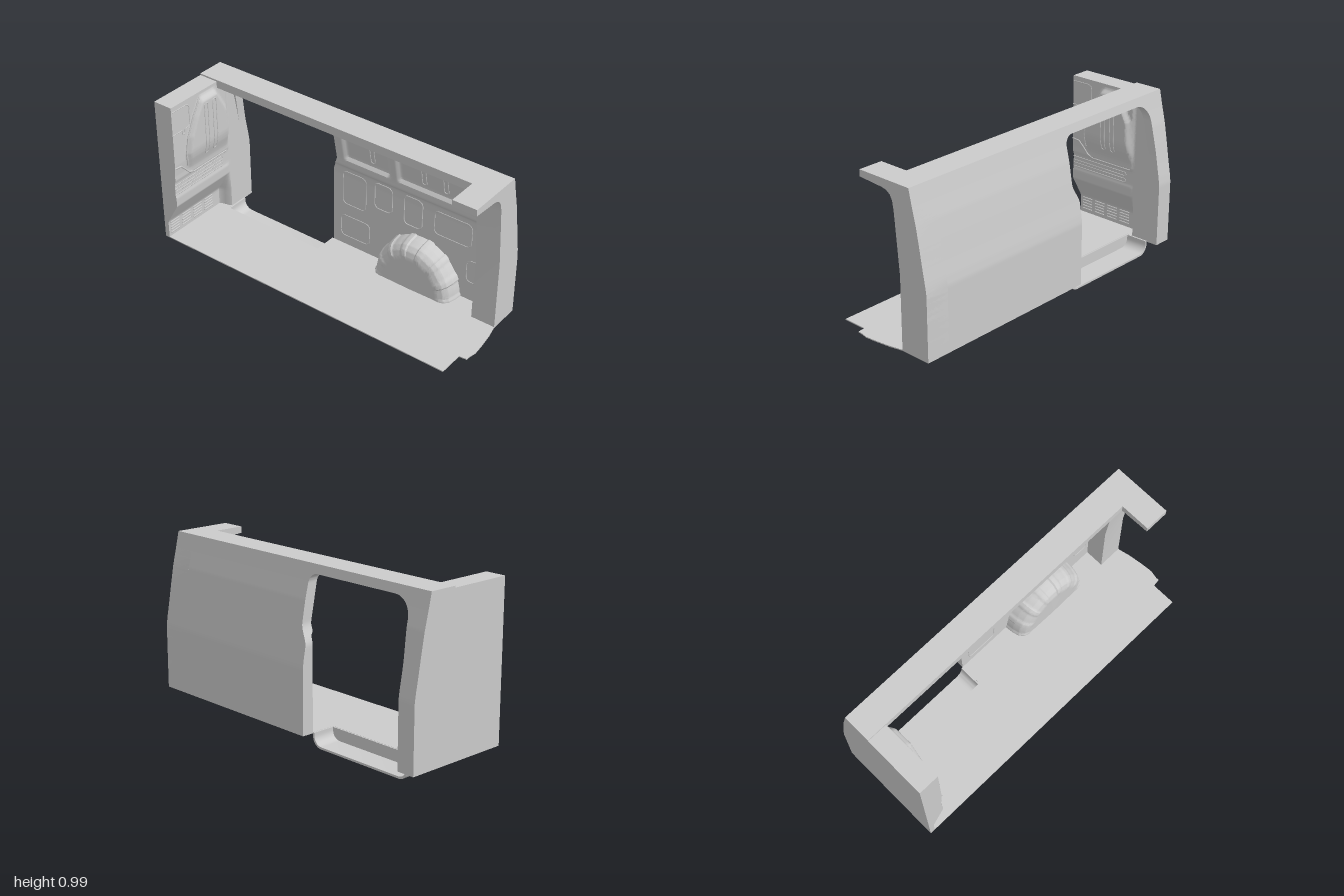
import * as THREE from 'three';
import { toCreasedNormals } from 'three/addons/utils/BufferGeometryUtils.js';

const grey = new THREE.MeshStandardMaterial({ color: 0xcccccc, side: THREE.DoubleSide });
const BASE = 0.075, FRONT = 0.965, HEAD = 0.94, OPEN = -0.323;
const lerp = THREE.MathUtils.lerp, smooth = THREE.MathUtils.smoothstep;

// piecewise linear lookup
function along(pts, v) {
  for (let i = 1; i < pts.length; i++) {
    const [a, b] = [pts[i - 1], pts[i]];
    if (v <= b[0]) return lerp(a[1], b[1], Math.max(0, (v - a[0]) / (b[0] - a[0])));
  }
  return pts[pts.length - 1][1];
}

// body-side section, door edges and lining section, all by height
const skin = [[0.075, 0.322], [0.45, 0.322], [0.5, 0.315], [0.57, 0.302], [0.7, 0.28], [0.8, 0.262], [0.9, 0.238], [0.99, 0.218]];
const outerX = y => along(skin, y);
const arc = (y, r) => r - Math.sqrt(Math.max(0, r * r - Math.max(0, y - HEAD + r) ** 2));
const doorFront = y => -0.205 + 0.045 * smooth(y, 0.56, 0.68) - arc(y, 0.055);
const doorRear = y => -0.893 + 0.012 * smooth(y, 0.6, 0.85) + arc(y, 0.11);
const lining = [[0.075, 0.25], [0.55, 0.255], [0.61, 0.247], [0.63, 0.225], [0.67, 0.222], [0.94, 0.17]];

// inner side lining with window recesses above the belt
const windows = [[-0.1, 0.2], [0.26, 0.72]];
function liningX(z, y) {
  let x = along(lining, y);
  for (const [a, b] of windows) {
    x += 0.022 * smooth(z, a - 0.015, a + 0.015) * (1 - smooth(z, b - 0.015, b + 0.015))
      * smooth(y, 0.67, 0.7) * (1 - smooth(y, 0.89, 0.92));
  }
  return x;
}

// bulkhead face: bulged upper field, undercut toe panel, straight corner post
const bulgeLeft = [[0.49, -0.12], [0.51, -0.19], [0.56, -0.22], [0.64, -0.23], [0.74, -0.21], [0.85, -0.16], [0.95, -0.1]];
const bulgeRight = [[0.49, 0.13], [0.79, 0.11], [0.94, 0.03]];
function bulkheadZ(x, y) {
  const l = along(bulgeLeft, y), r = along(bulgeRight, y);
  const bulge = smooth(x, l - 0.01, l + 0.025) * (1 - smooth(x, r - 0.025, r + 0.01))
    * smooth(y, 0.5, 0.67) * (1 - smooth(y, 0.92, 0.96));
  const face = along([[0.18, -0.97], [0.195, -0.965], [0.325, -0.89], [0.38, -0.888], [0.4, -0.893], [0.48, -0.893], [0.5, -0.886], [0.53, -0.886], [0.6, -0.88], [0.98, -0.878]], y);
  return lerp(face + 0.029 * bulge, -0.893, smooth(x, 0.115, 0.14));
}

// grid surface from a rule f(u, v) -> [x, y, z]
function sheet(nu, nv, f) {
  const g = new THREE.PlaneGeometry(1, 1, nu, nv), p = g.attributes.position;
  for (let i = 0; i < p.count; i++) p.setXYZ(i, ...f(p.getX(i) + 0.5, p.getY(i) + 0.5));
  g.computeVertexNormals();
  return toCreasedNormals(g, 0.6);
}

function extrude(pts, depth) {
  const shape = new THREE.Shape(pts.map(([x, y]) => new THREE.Vector2(x, y)));
  return toCreasedNormals(new THREE.ExtrudeGeometry(shape, { depth, bevelEnabled: false }), 0.5);
}

// points of a rounded rectangle
function roundRect(x0, y0, x1, y1, r) {
  const out = [];
  const corners = [[x1 - r, y1 - r, 0], [x0 + r, y1 - r, 1], [x0 + r, y0 + r, 2], [x1 - r, y0 + r, 3]];
  for (const [cx, cy, q] of corners) {
    for (let i = 0; i <= 4; i++) {
      const a = (q + i / 4) * Math.PI / 2;
      out.push([cx + r * Math.cos(a), cy + r * Math.sin(a)]);
    }
  }
  return out;
}

// fine bead following a surface, with long runs subdivided
function bead(pts, place, closed, r = 0.003) {
  const v = [], ends = closed ? [...pts, pts[0]] : pts;
  for (let i = 1; i < ends.length; i++) {
    const [a, b] = [ends[i - 1], ends[i]];
    const n = Math.ceil(Math.hypot(b[0] - a[0], b[1] - a[1]) / 0.015);
    for (let k = 0; k < n; k++) v.push(new THREE.Vector3(...place(lerp(a[0], b[0], k / n), lerp(a[1], b[1], k / n))));
  }
  if (!closed) v.push(new THREE.Vector3(...place(...ends[ends.length - 1])));
  return new THREE.TubeGeometry(new THREE.CatmullRomCurve3(v, closed, 'centripetal'), v.length * 2, r, 6, closed);
}

export function createModel() {
  const model = new THREE.Group();
  const add = (name, geometry, parent = model) => {
    const m = new THREE.Mesh(geometry, grey);
    m.name = name;
    parent.add(m);
    return m;
  };
  const group = name => {
    const g = new THREE.Group();
    g.name = name;
    model.add(g);
    return g;
  };
  // rows are packed towards the rounded door head
  const rowY = v => lerp(BASE, HEAD, 1 - (1 - v) ** 1.6);

  // outer body side either side of the door
  const side = group('bodySide');
  add('sidePanel', sheet(1, 70, (u, v) => { const y = rowY(v); return [outerX(y), y, lerp(doorFront(y), FRONT, u)]; }), side);
  add('rearCornerPanel', sheet(1, 70, (u, v) => { const y = rowY(v); return [outerX(y), y, lerp(-1, doorRear(y), u)]; }), side);

  // door jambs and the inner return of the rear one
  const jambs = group('doorFrame');
  const jambX = y => outerX(y) - 0.055;
  add('frontJamb', sheet(2, 70, (u, v) => { const y = rowY(v), z = doorFront(y); return [lerp(outerX(y), liningX(z, y), u), y, z]; }), jambs);
  add('rearJamb', sheet(2, 70, (u, v) => { const y = rowY(v); return [lerp(outerX(y), jambX(y), u), y, doorRear(y)]; }), jambs);
  add('rearJambReturn', sheet(1, 70, (u, v) => { const y = rowY(v); return [jambX(y), y, lerp(-0.91, doorRear(y), u)]; }), jambs);

  // roof rail
  const rail = extrude([[0.05, HEAD], [outerX(HEAD), HEAD], [0.218, 0.99], [0.05, 0.99]], FRONT + 1);
  rail.translate(0, 0, -1);
  add('roofRail', rail);

  // end frame: pillar with a curved corner and header
  const outline = [[0.135, BASE], ...skin.map(([y, x]) => [x, y]), [-0.13, 0.99], [-0.13, 0.952], [-0.05, 0.947], [0.03, 0.942],
    [0.06, 0.935], [0.085, 0.918], [0.1, 0.89], [0.107, 0.85], [0.112, 0.8], [0.137, 0.5]];
  const frame = extrude(outline, FRONT - 0.82);
  frame.translate(0, 0, 0.82);
  add('endFrame', frame);

  // floor with door notch and curved end edge
  const floor = extrude([[OPEN, 1], [0.322, 1], [0.322, 0.893], [0.105, 0.893], [0.105, 0.205], [0.322, 0.205],
    [0.322, -FRONT], [0.135, -FRONT], [0.06, -0.982], [-0.03, -0.994], [-0.1, -1], [-0.15, -0.99],
    [-0.17, -0.99], [-0.175, -0.945], [OPEN, -0.945]], 0.006);
  floor.rotateX(-Math.PI / 2).translate(0, BASE, 0);
  add('floor', floor);

  // entry step: rounded tray below the door
  const cup = (a, b, y0, r) => {
    const pts = [[a, 0.08]];
    for (let i = 0; i <= 8; i++) { const t = Math.PI * (1 + i / 16); pts.push([a + r + r * Math.cos(t), y0 + r + r * Math.sin(t)]); }
    for (let i = 0; i <= 8; i++) { const t = Math.PI * (1.5 + i / 16); pts.push([b - r + r * Math.cos(t), y0 + r + r * Math.sin(t)]); }
    return [...pts, [b, 0.08]];
  };
  const step = group('entryStep');
  const rim = cup(0.205, 0.893, 0, 0.06);
  add('stepTray', extrude([...rim, ...cup(0.215, 0.883, 0.012, 0.052).reverse()], 0.145).rotateY(Math.PI / 2).translate(0.105, 0, 0), step);
  add('stepRiser', extrude(rim, 0.008).rotateY(Math.PI / 2).translate(0.105, 0, 0), step);

  // bulkhead: pressed face with flat back and closed edges
  const bulkhead = group('bulkhead');
  add('bulkheadFace', sheet(90, 130, (u, v) => {
    const y = lerp(BASE, 0.98, v), x = lerp(OPEN, outerX(y) - 0.012, u);
    return [x, y, bulkheadZ(x, y)];
  }), bulkhead);
  add('bulkheadBack', sheet(1, 40, (u, v) => { const y = lerp(BASE, 0.98, v); return [lerp(OPEN, outerX(y), u), y, -1]; }), bulkhead);
  add('bulkheadEdge', sheet(1, 130, (u, v) => { const y = lerp(BASE, 0.98, v); return [OPEN, y, lerp(-1, bulkheadZ(OPEN, y), u)]; }), bulkhead);
  add('bulkheadTop', sheet(40, 1, (u, v) => { const x = lerp(OPEN, 0.2, u); return [x, 0.98, lerp(-1, bulkheadZ(x, 0.98), v)]; }), bulkhead);

  // beads on the bulkhead
  const onBulkhead = (x, y) => [x, y, bulkheadZ(x, y)];
  for (const x of [-0.075, -0.007]) add('uprightRib', bead(roundRect(x - 0.014, 0.58, x + 0.014, 0.91, 0.012), onBulkhead, true), bulkhead);
  for (const y of [0.416, 0.456]) {
    add('crossRib', bead([[OPEN, y - 0.011], [0.07, y - 0.011], [0.078, y - 0.005], [0.078, y + 0.005], [0.07, y + 0.011], [OPEN, y + 0.011]], onBulkhead, false), bulkhead);
  }
  add('hatchOutline', bead([[OPEN, 0.948], [-0.205, 0.948], [-0.19, 0.94], [-0.184, 0.925], [-0.184, 0.835], [-0.19, 0.815], [-0.205, 0.805],
    [-0.224, 0.803], [-0.226, 0.783], [-0.236, 0.775], [-0.246, 0.783], [-0.248, 0.803], [OPEN, 0.803]], onBulkhead, false), bulkhead);
  const border = [[OPEN, 0.585], [-0.275, 0.58], [-0.245, 0.55], [-0.21, 0.51], [-0.17, 0.492], [0.11, 0.492]];
  add('bulgeBorder', bead(border, onBulkhead, false, 0.005), bulkhead);
  add('bulgeSideBorder', bead(bulgeLeft.slice(2).map(([y, x]) => [x, y]), onBulkhead, false, 0.005), bulkhead);

  // vent louvres
  const louvre = new THREE.CapsuleGeometry(0.004, 0.066, 3, 6).rotateZ(Math.PI / 2);
  for (let c = 0; c < 4; c++) {
    for (let r = 0; r < 5; r++) add('louvre', louvre, bulkhead).position.set(-0.27 + c * 0.096, 0.105 + r * 0.018, -0.969);
  }

  // side lining and its pressed outlines
  const inner = group('sideLining');
  add('liningPanel', sheet(110, 90, (u, v) => {
    const y = rowY(v), z = lerp(doorFront(y), 0.83, u);
    return [liningX(z, y), y, z];
  }), inner);
  const onLining = (z, y) => [liningX(z, y), y, z];
  const fields = [[-0.14, 0.36, 0.02, 0.58], [0.08, 0.42, 0.2, 0.59], [0.28, 0.4, 0.4, 0.59], [0.48, 0.42, 0.72, 0.57], [-0.15, 0.14, 0.05, 0.28], [0.7, 0.2, 0.8, 0.34]];
  for (const f of fields) add('pressedField', bead(roundRect(...f, 0.03), onLining, true), inner);
  for (const z of [0.08, 0.42, 0.56]) add('windowRib', bead(roundRect(z - 0.014, 0.72, z + 0.014, 0.87, 0.012), onLining, true), inner);

  // wheel arch with raised straps
  const archProfile = [[0, 0.262, 1], [0.25, 0.205, 0.98], [0.45, 0.165, 0.94], [0.6, 0.14, 0.86], [0.75, 0.128, 0.74], [1, 0.125, 0]];
  const archX = archProfile.map(p => [p[0], p[1]]), archR = archProfile.map(p => [p[0], p[2]]);
  add('wheelArch', sheet(96, 40, (u, v) => {
    const t = Math.PI * u, strap = smooth(Math.cos(t * 14), 0.3, 0.7) * (1 - smooth(v, 0.72, 0.78));
    const r = along(archR, v) * (1 + 0.025 * strap);
    return [along(archX, v) - 0.004 * strap, BASE + 0.285 * r * Math.sin(t), 0.41 - 0.26 * r * Math.cos(t)];
  }));
  return model;
}
